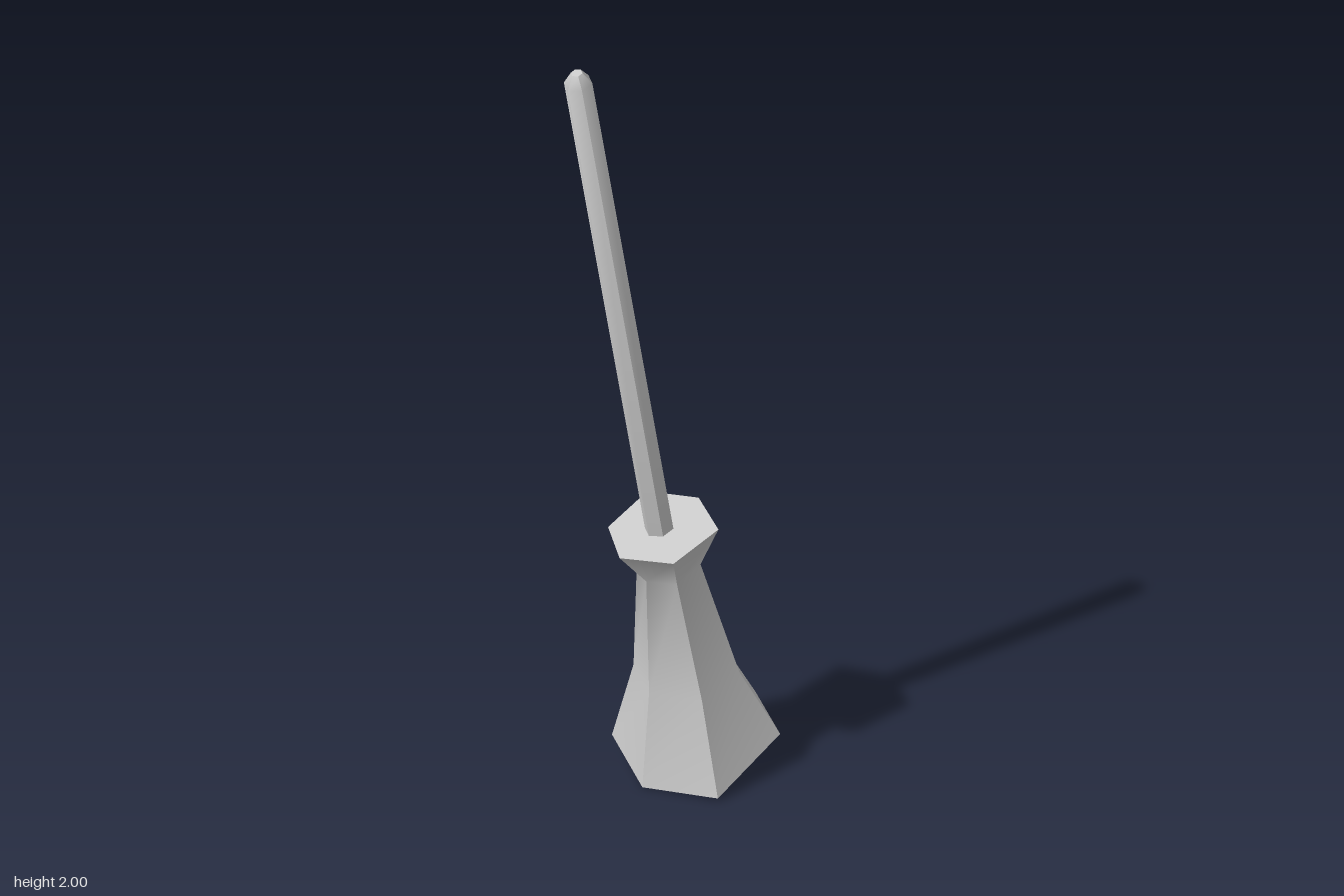
import * as THREE from 'three';
import { toCreasedNormals } from 'three/addons/utils/BufferGeometryUtils.js';

// Skin six-sided rings from bottom to top, closing each end with a fan round a centre point
function loft(rings, bottom, top) {
  const pos = [];
  const tri = (...pts) => pts.forEach((p) => pos.push(...p));
  const last = rings[rings.length - 1];
  const n = last.length;
  for (let i = 0; i < n; i++) {
    const j = (i + 1) % n;
    for (let k = 0; k < rings.length - 1; k++) {
      const a = rings[k], b = rings[k + 1];
      tri(a[j], a[i], b[i]);
      tri(a[j], b[i], b[j]);
    }
    tri(bottom, rings[0][i], rings[0][j]);
    tri(top, last[j], last[i]);
  }
  const g = new THREE.BufferGeometry();
  g.setAttribute('position', new THREE.Float32BufferAttribute(pos, 3));
  return toCreasedNormals(g, 0.7);
}

// Regular hexagon square to the leaning stick
function stickRing(x, y, r) {
  return Array.from({ length: 6 }, (_, i) => {
    const a = (i * Math.PI) / 3;
    return [x + r * Math.cos(a), y + 0.2 * r * Math.cos(a), -0.005 + r * Math.sin(a)];
  });
}

export function createModel() {
  const group = new THREE.Group();
  group.name = 'broom';
  const grey = new THREE.MeshStandardMaterial({ color: 0xcccccc });
  grey.name = 'grey';

  const add = (name, geometry) => {
    const mesh = new THREE.Mesh(geometry, grey);
    mesh.name = name;
    group.add(mesh);
  };

  // Bristle head: uneven rings, corners running right, front, left, back
  const sweepEnd = [[0.305, 0.1, -0.003], [0.22, 0.09, 0.16], [0.003, 0.013, 0.172],
    [-0.07, 0.003, 0], [-0.005, 0.05, -0.162], [0.205, 0.09, -0.175]];
  const belly = [[0.208, 0.255, -0.003], [0.142, 0.265, 0.105], [0.012, 0.245, 0.112],
    [-0.048, 0.245, 0], [0.015, 0.25, -0.112], [0.145, 0.26, -0.115]];
  const neck = [[0.09, 0.57, -0.003], [0.055, 0.573, 0.065], [-0.022, 0.55, 0.065],
    [-0.057, 0.547, 0], [-0.02, 0.555, -0.067], [0.055, 0.572, -0.07]];
  const collar = [[0.12, 0.695, -0.005], [0.063, 0.683, 0.115], [-0.085, 0.653, 0.115],
    [-0.14, 0.642, -0.005], [-0.073, 0.655, -0.108], [0.07, 0.685, -0.122]];
  add('bristles', loft([sweepEnd, belly, neck, collar], [0.125, 0.03, 0], [-0.01, 0.668, -0.003]));

  // Long stick with a chamfered tip
  add('handle', loft(
    [stickRing(-0.004, 0.64, 0.034), stickRing(-0.276, 1.968, 0.034), stickRing(-0.281, 1.997, 0.014)],
    [-0.004, 0.64, -0.005], [-0.281, 1.997, -0.005]));

  return group;
}
